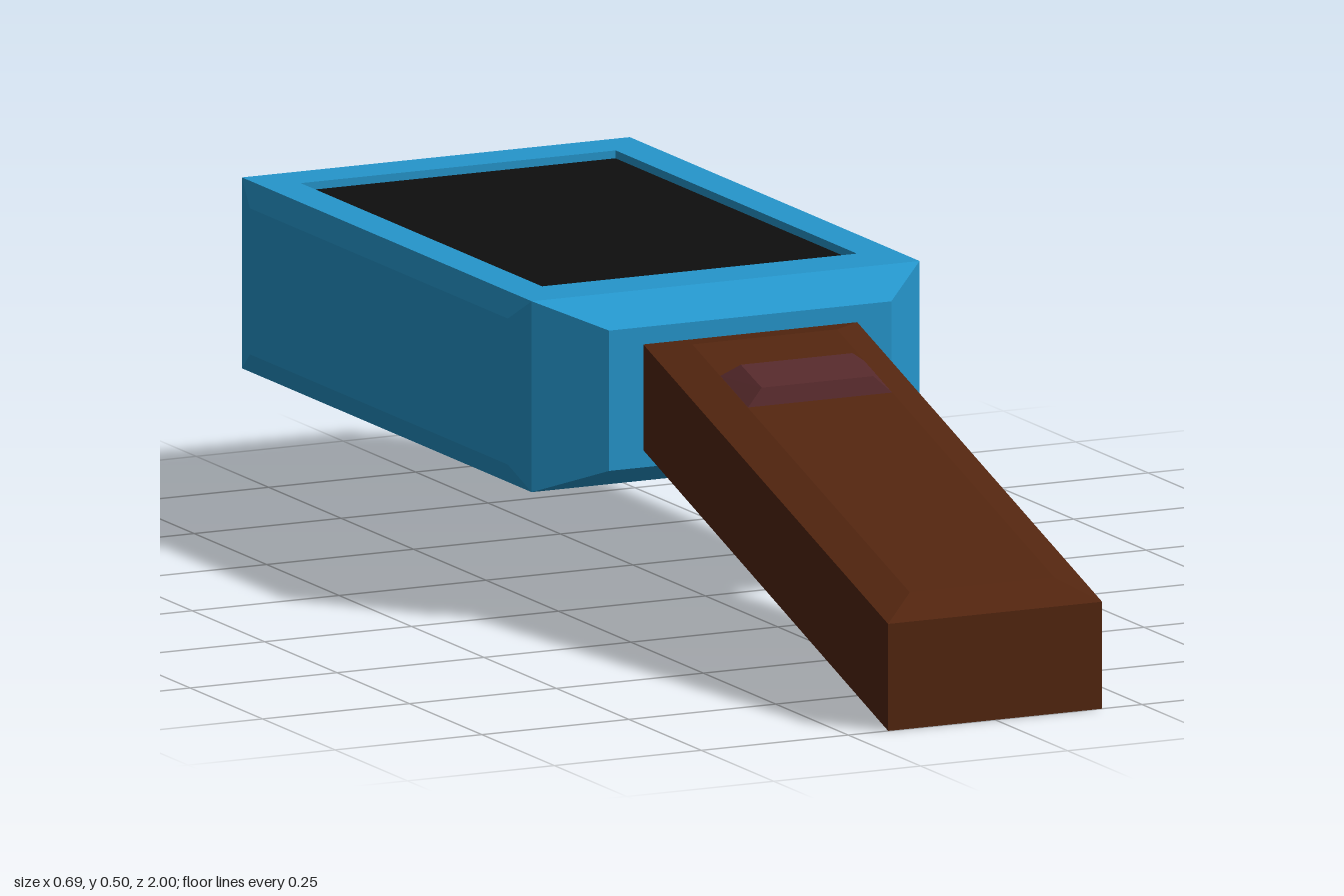
import * as THREE from 'three';

const mat = (name, color) => Object.assign(new THREE.MeshStandardMaterial({ color }), { name });

// Six-sided block between two quads; corners run counter-clockwise seen from the end side
function block(base, end) {
  const pos = [];
  const quad = (a, b, c, d) => [a, b, c, a, c, d].forEach(p => pos.push(...p));
  quad(...end);
  quad(base[3], base[2], base[1], base[0]);
  for (let i = 0; i < 4; i++) {
    const j = (i + 1) % 4;
    quad(base[i], base[j], end[j], end[i]);
  }
  const geo = new THREE.BufferGeometry();
  geo.setAttribute('position', new THREE.Float32BufferAttribute(pos, 3));
  geo.computeVertexNormals();
  return geo;
}

// Upright rectangle facing +z
const frontRect = (w, y0, y1, z) => [[-w, y0, z], [w, y0, z], [w, y1, z], [-w, y1, z]];
// Rectangle facing +x (s = 1) or -x (s = -1)
function sideRect(s, x, y0, y1, z0, z1) {
  const r = [[s * x, y0, z0], [s * x, y1, z0], [s * x, y1, z1], [s * x, y0, z1]];
  return s > 0 ? r : r.reverse();
}
// Upward rectangle that may slope: front edge (zf, yf), back edge (zb, yb)
const topRect = (w, zf, yf, zb, yb) => [[-w, yf, zf], [w, yf, zf], [w, yb, zb], [-w, yb, zb]];

export function createModel() {
  const model = new THREE.Group();
  const blue = mat('blue casing', 0x2596cc);
  const black = mat('black screen', 0x0e0e0e);
  const brown = mat('brown grip', 0x52250f);
  const maroon = mat('maroon button', 0x55292b);
  const add = (name, geo, material) => {
    const mesh = new THREE.Mesh(geo, material);
    mesh.name = name;
    model.add(mesh);
    return mesh;
  };

  // Casing core, up to the screen floor
  add('casing', block(frontRect(0.33, 0.207, 0.49, -0.93), frontRect(0.33, 0.207, 0.49, 0.07)), blue);

  // Raised frame around the screen (shape y becomes -z)
  const rect = (P, x, y0, y1) => {
    const p = new P();
    p.moveTo(-x, y0).lineTo(x, y0).lineTo(x, y1).lineTo(-x, y1).closePath();
    return p;
  };
  const outline = rect(THREE.Shape, 0.33, -0.07, 0.93);
  outline.holes.push(rect(THREE.Path, 0.268, 0.02, 0.853));
  const frame = new THREE.ExtrudeGeometry(outline, { depth: 0.015, bevelEnabled: false });
  add('screenFrame', frame.rotateX(-Math.PI / 2).translate(0, 0.49, 0), blue);

  // Screen plate
  add('screen', new THREE.BoxGeometry(0.534, 0.004, 0.831).translate(0, 0.491, -0.4365), black);

  // Bevelled front end and side panels
  add('frontEnd', block(frontRect(0.33, 0.207, 0.505, 0.07), frontRect(0.24, 0.248, 0.467, 0.155)), blue);
  for (const s of [1, -1]) {
    add(s > 0 ? 'leftPanel' : 'rightPanel',
      block(sideRect(s, 0.33, 0.207, 0.505, -0.93, 0.07), sideRect(s, 0.346, 0.242, 0.47, -0.87, 0.02)), blue);
  }

  // Connector block at the back
  add('backConnector', new THREE.BoxGeometry(0.534, 0.2, 0.08).translate(0, 0.356, -0.96), blue);

  // Sloping grip with a bevelled top
  const shoulder = topRect(0.182, 1, 0.167, 0.155, 0.44);
  add('grip', block(topRect(0.182, 1, 0, 0.155, 0.275), shoulder), brown);
  add('gripTop', block(shoulder, topRect(0.123, 0.955, 0.202, 0.205, 0.444)), brown);

  // Button on the grip
  add('button', block(topRect(0.123, 0.396, 0.382, 0.3, 0.413), topRect(0.095, 0.387, 0.409, 0.315, 0.431)), maroon);

  return model;
}
